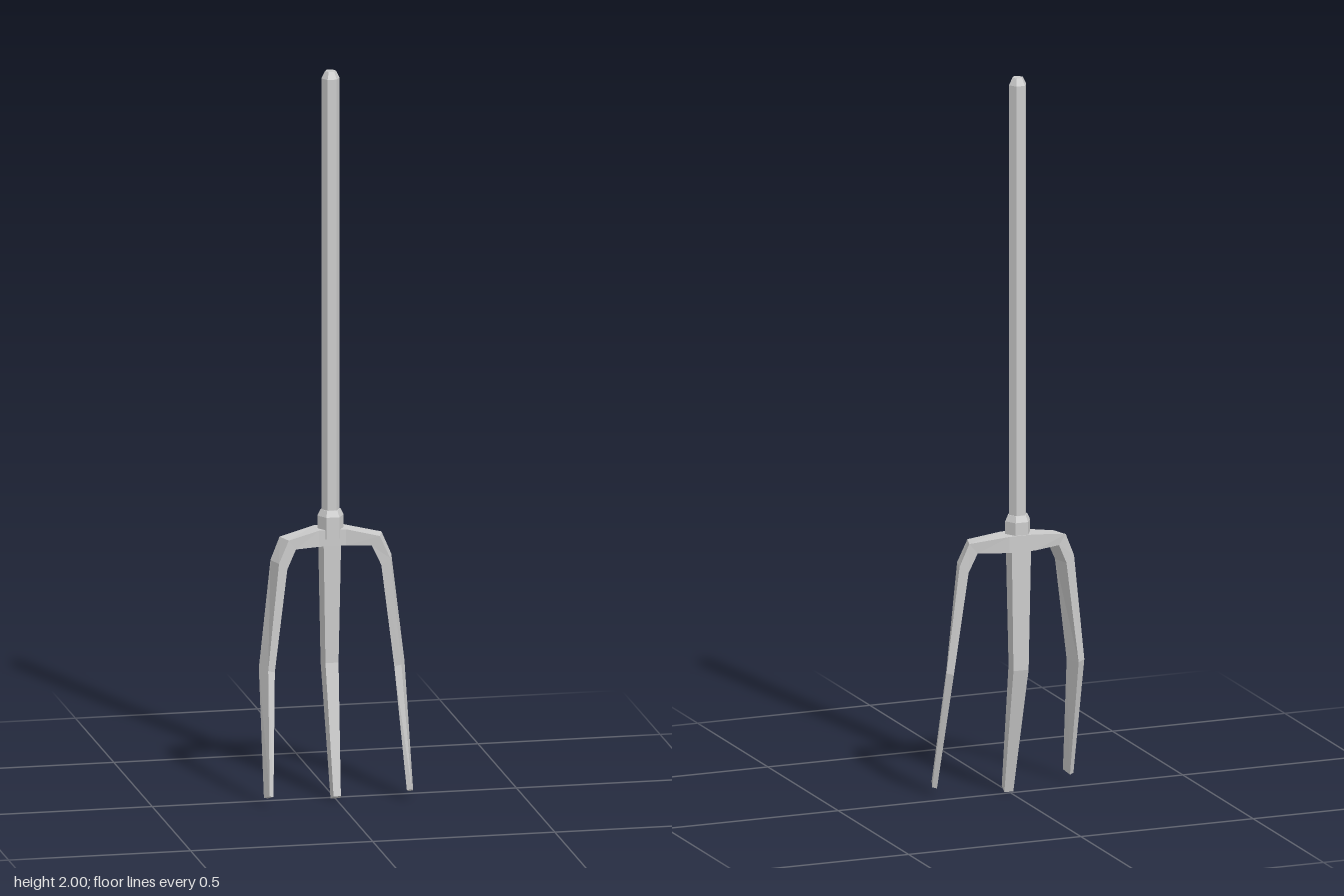
import * as THREE from 'three';

const material = new THREE.MeshStandardMaterial({ color: 0xcccccc, flatShading: true });

// Skin a row of four-cornered cross-sections and close both ends
function loft(name, rings) {
  const pos = [];
  const quad = (a, b, c, d) => pos.push(...a, ...b, ...c, ...a, ...c, ...d);
  for (let i = 0; i < rings.length - 1; i++) {
    for (let k = 0; k < 4; k++) {
      const n = (k + 1) % 4;
      quad(rings[i][k], rings[i + 1][k], rings[i + 1][n], rings[i][n]);
    }
  }
  quad(...rings[0]);
  quad(...[...rings[rings.length - 1]].reverse());
  const g = new THREE.BufferGeometry();
  g.setAttribute('position', new THREE.Float32BufferAttribute(pos, 3));
  g.computeVertexNormals();
  const mesh = new THREE.Mesh(g, material);
  mesh.name = name;
  return mesh;
}

// Six-sided turned part with corners on the x axis
function hexPart(name, profile) {
  const g = new THREE.LatheGeometry(profile.map(([r, y]) => new THREE.Vector2(r, y)), 6);
  g.rotateY(Math.PI / 6);
  const mesh = new THREE.Mesh(g, material);
  mesh.name = name;
  mesh.position.z = -0.05;
  return mesh;
}

export function createModel() {
  const group = new THREE.Group();
  group.name = 'pitchfork';

  // Shaft with a bevelled top, and the socket that holds it
  group.add(hexPart('handle', [[0, 0.72], [0.025, 0.72], [0.025, 1.98], [0.015, 2], [0, 2]]));
  group.add(hexPart('collar', [[0, 0.71], [0.036, 0.71], [0.036, 0.77], [0.028, 0.787], [0, 0.787]]));

  // Crossbar bending down into an outer tine:
  // outer front, outer back, inner back, inner front
  const half = [
    [[0.037, 0.735, -0.022], [0.037, 0.735, -0.085], [0.037, 0.69, -0.085], [0.037, 0.69, -0.022]],
    [[0.125, 0.717, 0], [0.14, 0.717, -0.05], [0.118, 0.69, -0.056], [0.104, 0.69, -0.006]],
    [[0.153, 0.655, 0.005], [0.166, 0.655, -0.045], [0.142, 0.637, -0.05], [0.129, 0.637, 0]],
    [[0.183, 0.36, 0.007], [0.2, 0.36, -0.035], [0.181, 0.355, -0.041], [0.164, 0.355, 0.003]],
    [[0.195, 0.032, 0.083], [0.205, 0.022, 0.055], [0.193, 0.019, 0.05], [0.183, 0.029, 0.076]],
  ];
  const mirrored = half.map(r => r.map(([x, y, z]) => [-x, y, z])).reverse();
  group.add(loft('crossbarAndOuterTines', [...mirrored, ...half]));

  // Middle tine: y front, y back, half-width front, half-width back, z front, z back
  const middle = [
    [0.7, 0.7, 0.024, 0.028, -0.025, -0.078],
    [0.365, 0.358, 0.018, 0.022, -0.03, -0.075],
    [0.012, 0, 0.01, 0.013, 0.038, 0.012],
  ].map(([yf, yb, wf, wb, zf, zb]) => [[wf, yf, zf], [wb, yb, zb], [-wb, yb, zb], [-wf, yf, zf]]);
  group.add(loft('middleTine', middle));

  return group;
}
